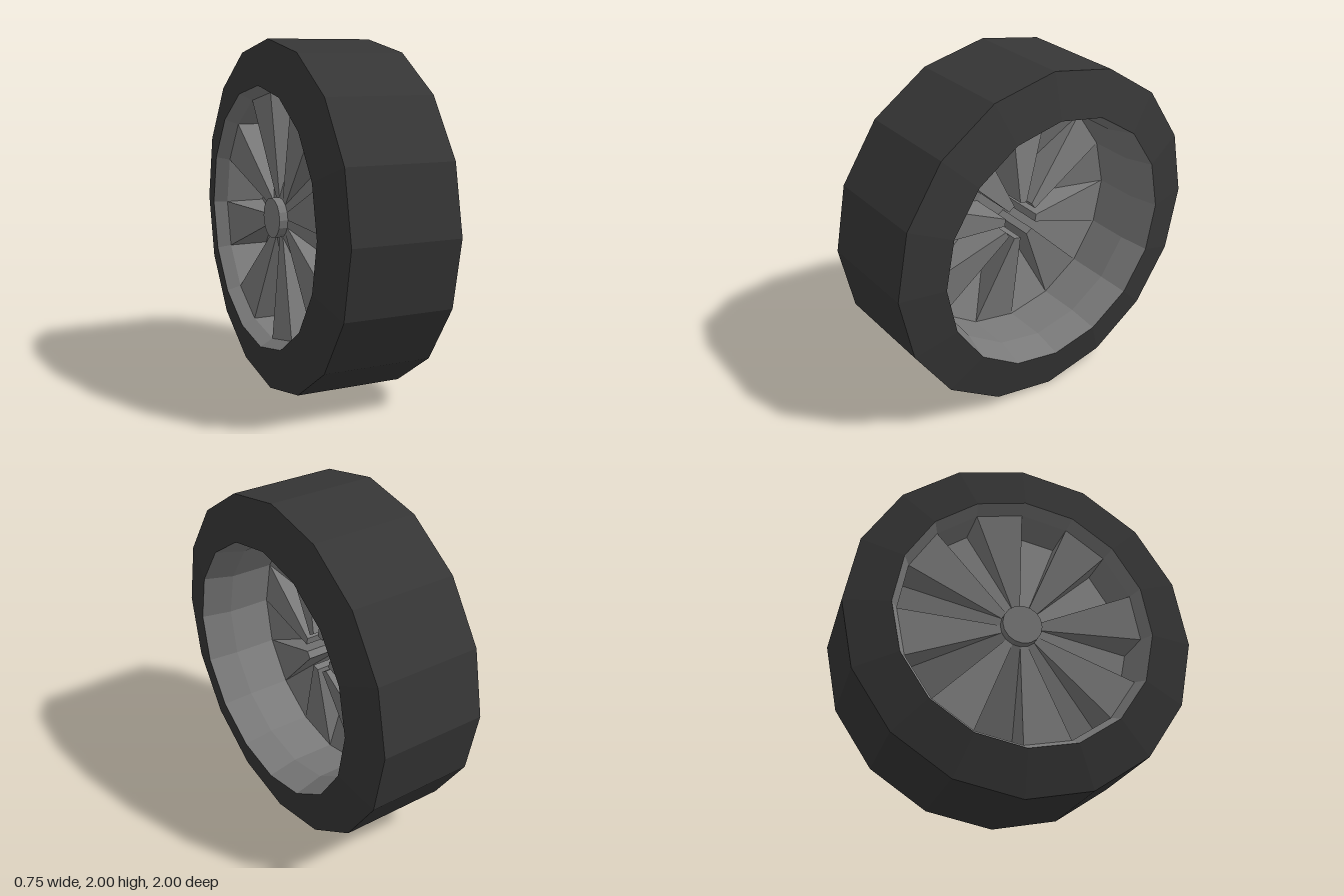
import * as THREE from 'three';

const SIDES = 16;
const HUB_R = 0.115, RIM_R = 0.705;

const metal = new THREE.MeshStandardMaterial({ color: 0x7a7a7a, flatShading: true, side: THREE.DoubleSide });
const rubber = new THREE.MeshStandardMaterial({ color: 0x363636, flatShading: true });

// Revolve a [radius, x] profile around the x axis
function ring(name, profile, material) {
  const points = profile.map(([r, x]) => new THREE.Vector2(r, x));
  const geometry = new THREE.LatheGeometry(points, SIDES).rotateZ(-Math.PI / 2);
  const mesh = new THREE.Mesh(geometry, material);
  mesh.name = name;
  return mesh;
}

// Point at a radius and sector index, counted from the top towards -z
function polar(r, index, x) {
  const a = (index / SIDES) * Math.PI * 2;
  return [x, r * Math.cos(a), -r * Math.sin(a)];
}

// Mesh from a list of four-cornered faces
function sheet(name, quads) {
  const corners = quads.flatMap(([a, b, c, d]) => [a, b, c, a, c, d]);
  const geometry = new THREE.BufferGeometry();
  geometry.setAttribute('position', new THREE.Float32BufferAttribute(corners.flat(), 3));
  geometry.computeVertexNormals();
  const mesh = new THREE.Mesh(geometry, metal);
  mesh.name = name;
  return mesh;
}

// The four corners of a sector, from its x at the hub and at the rim
function sector(i, hubX, rimX) {
  return [polar(HUB_R, i, hubX), polar(HUB_R, i + 1, hubX), polar(RIM_R, i + 1, rimX), polar(RIM_R, i, rimX)];
}

export function createModel() {
  const wheel = new THREE.Group();
  wheel.name = 'wheel';
  wheel.position.y = 1;

  // Tyre with bevelled sidewalls
  wheel.add(ring('tyre', [[0.745, -0.375], [1, -0.315], [1, 0.315], [0.745, 0.375]], rubber));

  // Inner barrel of the rim
  wheel.add(ring('rimBarrel', [[0.745, 0.375], [RIM_R, 0.2], [RIM_R, -0.3], [0.745, -0.375]], metal));

  for (let i = 0; i < SIDES; i += 2) {
    // Solid spoke, deepest at the hub on its inner side
    const inner = sector(i, 0.03, -0.06);
    const outer = sector(i, -0.25, -0.3);
    const sides = [0, 1, 3].map((k) => {
      const n = (k + 1) % 4;
      return [inner[k], outer[k], outer[n], inner[n]];
    });
    wheel.add(sheet('spoke', [inner, [...outer].reverse(), ...sides]));

    // The side at the second edge of the sector
    wheel.add(sheet('spokeSide', [[inner[1], outer[1], outer[2], inner[2]]]));

    // Sloping panel between two spokes
    wheel.add(sheet('recessedPanel', [sector(i + 1, -0.25, -0.06)]));
  }

  // Hub cap
  const hubCap = new THREE.Mesh(
    new THREE.CylinderGeometry(HUB_R, HUB_R, 0.05, SIDES).rotateZ(-Math.PI / 2), metal);
  hubCap.name = 'hubCap';
  hubCap.position.x = -0.275;
  wheel.add(hubCap);

  const model = new THREE.Group();
  model.name = 'wheelModel';
  model.add(wheel);
  return model;
}
